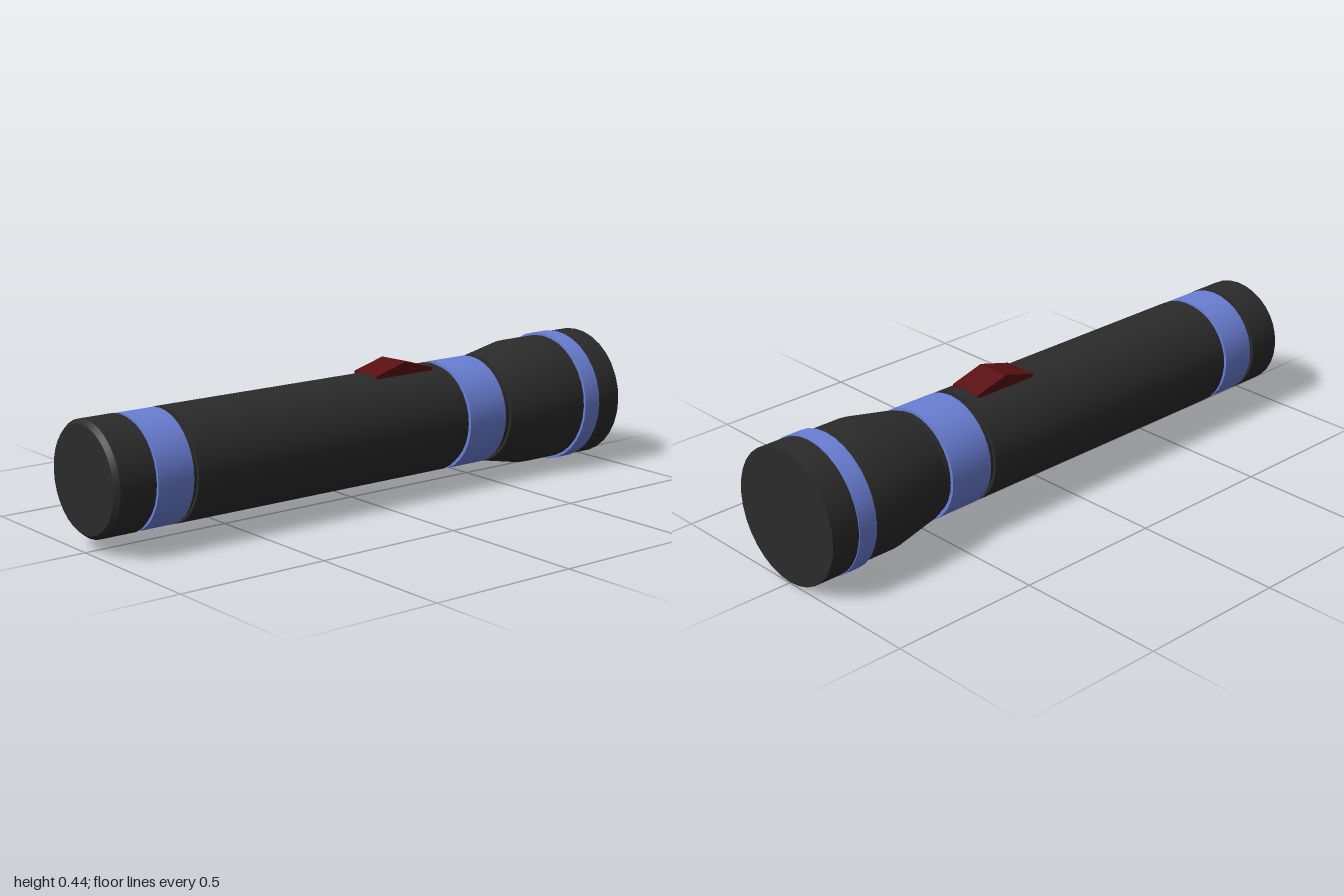
import * as THREE from 'three';
import { toCreasedNormals } from 'three/addons/utils/BufferGeometryUtils.js';

const AXIS_Y = 0.223;
const SIDES = 32;

export function createModel() {
  const model = new THREE.Group();
  model.name = 'flashlight';

  const black = new THREE.MeshStandardMaterial({ color: 0x2b2b2b });
  const blue = new THREE.MeshStandardMaterial({ color: 0x6b80d6 });
  const red = new THREE.MeshStandardMaterial({ color: 0x5a1013 });

  // Closed solid of revolution along z; profile is [radius, z] from back to front.
  function turned(name, material, profile) {
    const points = [
      [0, profile[0][1]], ...profile, [0, profile[profile.length - 1][1]],
    ].map(([r, z]) => new THREE.Vector2(r, z));
    const geometry = new THREE.LatheGeometry(points, SIDES);
    geometry.rotateX(Math.PI / 2);
    const mesh = new THREE.Mesh(toCreasedNormals(geometry, 0.4), material);
    mesh.name = name;
    mesh.position.y = AXIS_Y;
    model.add(mesh);
  }

  // Inner core, seen in the grooves between the parts
  turned('core', black, [[0.17, -0.9], [0.17, 0.9]]);

  // Tail and barrel
  turned('tailCap', black, [[0.18, 0.868], [0.18, 0.985], [0.167, 1]]);
  turned('tailBand', blue, [[0.179, 0.73], [0.179, 0.855]]);
  turned('barrel', black, [[0.18, -0.335], [0.18, 0.715]]);
  turned('neckBand', blue, [[0.181, -0.51], [0.181, -0.355]]);

  // Flared head and bezel
  turned('head', black, [[0.212, -0.84], [0.212, -0.7], [0.18, -0.535]]);
  turned('headBand', blue, [[0.221, -0.905], [0.221, -0.84]]);
  turned('bezel', black, [[0.218, -1], [0.218, -0.905]]);

  // Peaked switch: side profile in (-z, y), extruded across x
  const profile = new THREE.Shape([
    [0.06, 0.37], [0.293, 0.37], [0.293, 0.403], [0.176, 0.435], [0.06, 0.403],
  ].map(([x, y]) => new THREE.Vector2(x, y)));
  const width = 0.116;
  const switchGeometry = new THREE.ExtrudeGeometry(profile, { depth: width, bevelEnabled: false });
  switchGeometry.translate(0, 0, -width / 2);
  switchGeometry.rotateY(Math.PI / 2);
  const button = new THREE.Mesh(switchGeometry, red);
  button.name = 'switch';
  model.add(button);

  return model;
}
